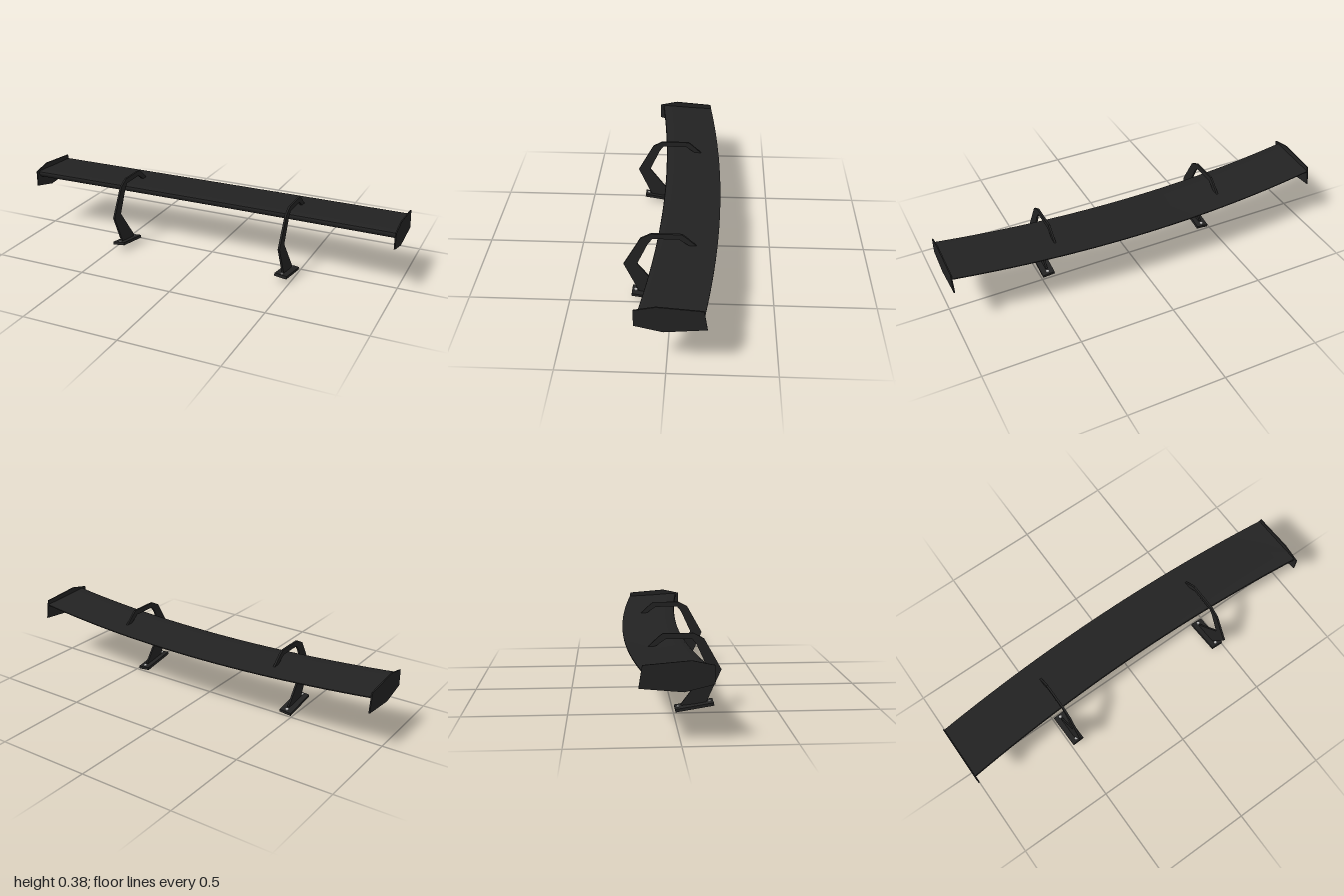
import * as THREE from 'three';
import { toCreasedNormals } from 'three/addons/utils/BufferGeometryUtils.js';

const black = new THREE.MeshStandardMaterial({ color: 0x222222 });
black.name = 'satinBlack';
const steel = new THREE.MeshStandardMaterial({ color: 0xbbbbbb });
steel.name = 'boltSteel';

function part(name, geometry, material = black) {
  const mesh = new THREE.Mesh(geometry, material);
  mesh.name = name;
  return mesh;
}

// Flat plate from a [z, y] outline, centred on x = 0
function plate(outline, thickness) {
  const shape = new THREE.Shape(outline.map(([z, y]) => new THREE.Vector2(-z, y)));
  const geo = new THREE.ExtrudeGeometry(shape, { depth: thickness, bevelEnabled: false });
  geo.rotateY(Math.PI / 2);
  geo.translate(-thickness / 2, 0, 0);
  return geo;
}

// Aerofoil swept across the span, its ends bowed forward and up
function wingGeometry() {
  const profile = [
    [0.06, 0.31], [0.057, 0.318], [0.047, 0.322], [0, 0.32], [-0.1, 0.313], [-0.23, 0.307],
    [-0.23, 0.302], [-0.15, 0.289], [-0.06, 0.278], [0.015, 0.279], [0.045, 0.288], [0.057, 0.3],
  ];
  const n = profile.length;
  const segments = 28;
  const positions = [];
  const index = [];
  for (let i = 0; i <= segments; i++) {
    const x = -0.995 + (1.99 * i) / segments;
    for (const [z, y] of profile) positions.push(x, y + 0.025 * x * x, z + 0.062 * x * x);
    if (i === segments) break;
    for (let j = 0; j < n; j++) {
      const k = (j + 1) % n;
      const a = i * n + j, b = a + n, c = i * n + k, d = c + n;
      index.push(a, b, c, b, d, c);
    }
  }
  const geo = new THREE.BufferGeometry();
  geo.setAttribute('position', new THREE.Float32BufferAttribute(positions, 3));
  geo.setIndex(index);
  return toCreasedNormals(geo, 0.8);
}

// Tilted mounting foot with two bolts
function makeFoot(side) {
  const foot = new THREE.Group();
  foot.name = 'mountingFoot';
  foot.add(part('footPlate', new THREE.BoxGeometry(0.065, 0.015, 0.188)));
  for (const z of [-0.077, 0.077]) {
    const bolt = part('bolt', new THREE.CylinderGeometry(0.008, 0.008, 0.004, 12), steel);
    bolt.position.set(0, 0.0095, z);
    foot.add(bolt);
  }
  foot.position.set(side * 0.46, 0.0265, 0.102);
  foot.rotation.set(-0.163, 0, -side * 0.11);
  return foot;
}

export function createModel() {
  const model = new THREE.Group();
  model.name = 'rearWing';
  model.add(part('wingBlade', wingGeometry()));

  const endplate = plate([
    [0.138, 0.35], [0.04, 0.371], [-0.165, 0.354],
    [-0.181, 0.255], [0.01, 0.237], [0.138, 0.268],
  ], 0.006);

  // Arm rises from the foot, hooks over the leading edge and lands on the top skin
  const neck = plate([
    [0.16, 0.04], [0.232, 0.202], [0.148, 0.352], [0.098, 0.379], [-0.048, 0.379],
    [-0.07, 0.362], [-0.122, 0.313], [-0.09, 0.313], [-0.035, 0.352],
    [0.09, 0.352], [0.112, 0.325], [0.167, 0.205], [0.037, 0.032], [0.042, 0.027],
  ], 0.01);

  for (const side of [-1, 1]) {
    const end = part(side > 0 ? 'leftEndplate' : 'rightEndplate', endplate);
    end.position.x = side * 0.997;
    const arm = part(side > 0 ? 'leftSwanNeck' : 'rightSwanNeck', neck);
    arm.position.x = side * 0.46;
    model.add(end, arm, makeFoot(side));
  }
  return model;
}
